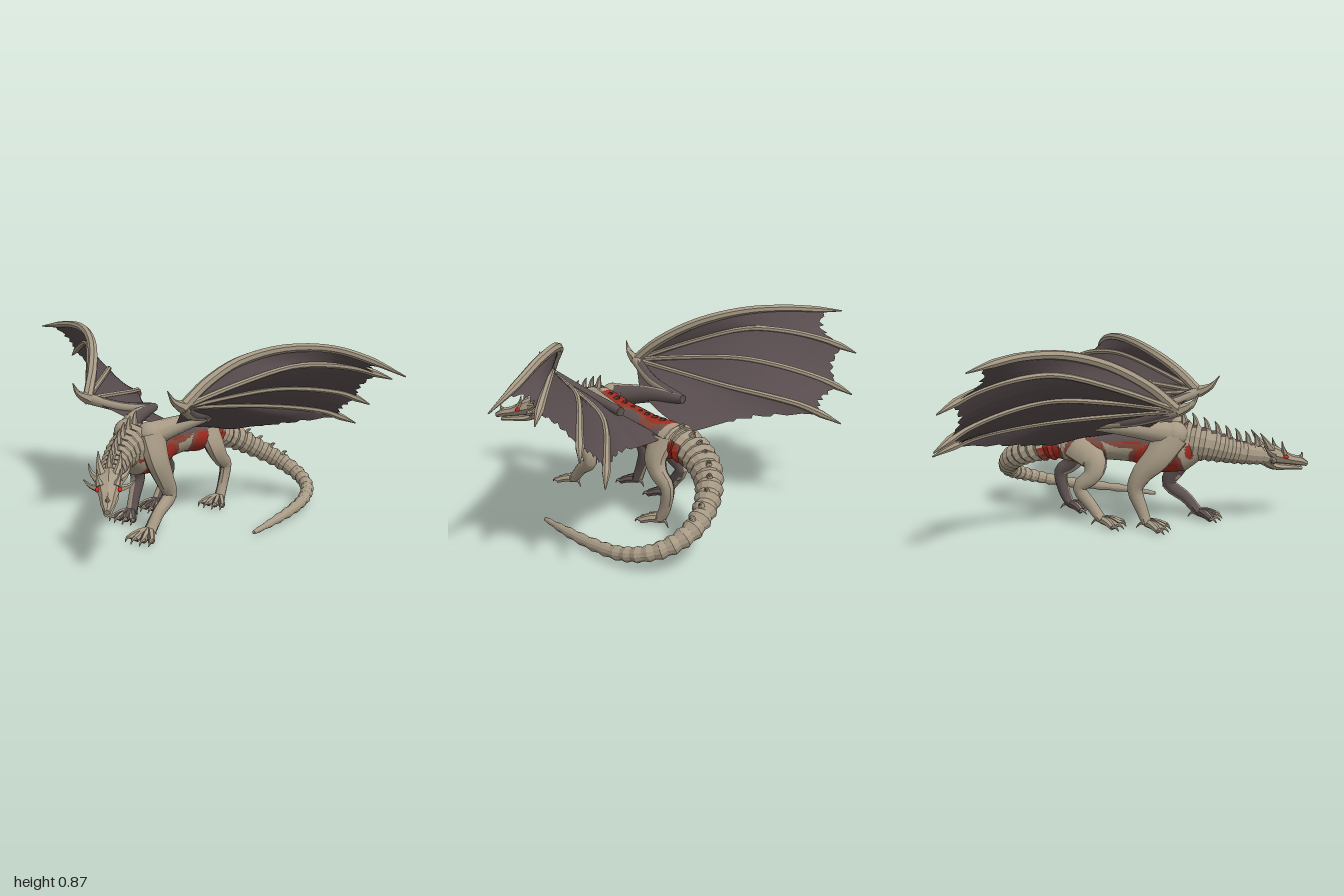
import * as THREE from 'three';
import { toCreasedNormals } from 'three/addons/utils/BufferGeometryUtils.js';
import { ParametricGeometry } from 'three/addons/geometries/ParametricGeometry.js';

const V = (p) => new THREE.Vector3(p[0], p[1], p[2]);
const lerp = THREE.MathUtils.lerp;
const mat = (name, color, extra = {}) => Object.assign(new THREE.MeshStandardMaterial({ color, ...extra }), { name });
const hide = mat('bone hide', 0xa79a85);
const dark = mat('dark hide', 0x5c5150);
const web = mat('wing membrane', 0x574b4d, { side: THREE.DoubleSide });
const flesh = mat('red flesh', 0xa02c20);
const faded = mat('faded flesh', 0x80483c);
const eyeRed = mat('eye red', 0xd02a1c);

// Loft through points [x, y, z, rx, ry]; pick(centre, normal) chooses a material index per face.
function loft(name, pts, mats, { rings = 16, sides = 10, ref = [0, 1, 0], bead = 0, pick = () => 0, crease = 0.7 } = {}) {
  const curve = new THREE.CatmullRomCurve3(pts.map(V));
  const R = V(ref), grid = [];
  for (let i = 0; i <= rings; i++) {
    const t = i / rings, f = Math.min(t * (pts.length - 1), pts.length - 1.0001);
    const k = Math.floor(f), a = pts[k], b = pts[k + 1], m = i % 2 ? 1 + bead : 1 - bead;
    const rx = lerp(a[3], b[3], f - k) * m, ry = lerp(a[4] ?? a[3], b[4] ?? b[3], f - k) * m;
    const c = curve.getPoint(t), T = curve.getTangent(t);
    const side = R.clone().cross(T).normalize(), up = T.clone().cross(side);
    const row = Array.from({ length: sides }, (_, j) => {
      const q = (j / sides) * Math.PI * 2;
      return c.clone().addScaledVector(side, rx * Math.cos(q)).addScaledVector(up, ry * Math.sin(q));
    });
    grid.push({ c, row });
  }
  const list = [mats].flat(), buckets = list.map(() => []);
  const tri = (a, b, c) => {
    const n = b.clone().sub(a).cross(c.clone().sub(a)).normalize();
    const mid = a.clone().add(b).add(c).divideScalar(3);
    buckets[pick(mid, n)].push(...a.toArray(), ...b.toArray(), ...c.toArray());
  };
  const first = grid[0], last = grid[rings];
  for (let j = 0; j < sides; j++) {
    const k = (j + 1) % sides;
    for (let i = 0; i < rings; i++) {
      const p = grid[i].row, q = grid[i + 1].row;
      tri(p[j], p[k], q[k]);
      tri(p[j], q[k], q[j]);
    }
    tri(first.c, first.row[k], first.row[j]);
    tri(last.c, last.row[j], last.row[k]);
  }
  let geo = new THREE.BufferGeometry();
  geo.setAttribute('position', new THREE.Float32BufferAttribute(buckets.flat(), 3));
  geo = toCreasedNormals(geo, crease);
  let start = 0;
  buckets.forEach((b, i) => { geo.addGroup(start, b.length / 3, i); start += b.length / 3; });
  return Object.assign(new THREE.Mesh(geo, list.length > 1 ? list : list[0]), { name });
}

const horn = (name, pts, r, m = hide) =>
  loft(name, pts.map((p, i) => [...p, Math.max(0.002, r * (1 - i / (pts.length - 1)))]), m, { rings: 6, sides: 6, ref: [0.3, 0.9, 0.31] });

function makeLeg(name, pts, toeEnd) {
  const g = Object.assign(new THREE.Group(), { name });
  const s = Math.sign(pts[2][0]);
  const pick = (c, n) => (c.y < 0.36 && n.x * s < -0.1 && n.y > -0.5 ? 1 : 0);
  g.add(loft('limb', pts, [hide, dark], { rings: 18, ref: [0, 0, 1], pick }));
  // Spread toes with hooked claws, plus a rear spur
  const [x, , z] = pts[pts.length - 1];
  for (const d of [-0.06, -0.022, 0.022, 0.06]) {
    const reach = toeEnd - z - Math.abs(d) * 0.35;
    const at = (f, y) => [x + d * Math.min(1, f * 1.3), y, z + reach * f];
    g.add(loft('toe', [[...at(0, 0.035), 0.021], [...at(0.35, 0.032), 0.019], [...at(0.7, 0.017), 0.015]], [hide, dark], { rings: 6, sides: 7, pick }));
    g.add(horn('claw', [at(0.65, 0.02), at(0.85, 0.02), at(1, 0.003)], 0.013));
  }
  g.add(horn('spur', [[x, 0.03, z], [x, 0.03, z - 0.03], [x, 0.008, z - 0.05]], 0.013));
  return g;
}

function makeWing(name, w) {
  const g = Object.assign(new THREE.Group(), { name });
  const curves = w.ribs.map((r) => new THREE.CatmullRomCurve3([w.wrist, ...r].map(V)));
  curves.push(new THREE.CatmullRomCurve3(w.flank.map(V)));
  // Membrane panels stretch between neighbouring ribs with a ragged, scalloped rear edge
  const ends = [0.9, 0.86, 0.84, 0.83, 1, 1];
  for (let i = 0; i < curves.length - 1; i++) {
    const fn = (u, v, out) => {
      const scallop = Math.sin(Math.PI * u) * (i === 4 ? 0.03 : 0.08 + 0.025 * Math.sin(u * 31 + i));
      const t = v * (lerp(ends[i], ends[i + 1], u) - scallop);
      out.copy(curves[i].getPoint(t)).lerp(curves[i + 1].getPoint(t), u);
      out.y -= 0.015 * Math.sin(Math.PI * u) * v;
    };
    g.add(Object.assign(new THREE.Mesh(new ParametricGeometry(fn, 14, 18), web), { name: 'membrane' }));
  }
  // Finger bones ending in thick pointed claws
  curves.slice(0, 4).forEach((c, i) => {
    const radii = i ? [0.013, 0.013, 0.013, 0.014, 0.015, 0.017, 0.003] : [0.024, 0.024, 0.022, 0.02, 0.018, 0.017, 0.003];
    g.add(loft('finger', radii.map((r, k) => [...c.getPoint(k / 6).toArray(), r]), hide, { rings: 24, sides: 7 }));
  });
  // Rounded shoulder, folded arm with a dark rear side, and thumb claw
  const pick = (c, n) => (n.z < -0.05 && c.z < 0.2 ? 1 : 0);
  const shoulder = new THREE.Mesh(new THREE.SphereGeometry(0.06, 16, 12), hide);
  shoulder.name = 'shoulder';
  shoulder.position.set(...w.shoulder);
  g.add(shoulder);
  g.add(loft('upperArm', [[...w.shoulder, 0.055, 0.058], [...w.mid, 0.036, 0.04], [...w.elbow, 0.02]], [hide, dark], { rings: 12, pick }));
  g.add(loft('forearm', [[...w.elbow, 0.02], [...w.fore, 0.025], [...w.wrist, 0.025]], [hide, dark], { rings: 12, pick }));
  g.add(horn('thumbClaw', [w.wrist, w.thumbMid, w.thumb], 0.028));
  return g;
}

function makeHead() {
  const h = Object.assign(new THREE.Group(), { name: 'head' });
  h.add(loft('skull', [[0, 0.01, -0.03, 0.038, 0.042], [0, 0.014, 0.03, 0.056, 0.046], [0, 0.01, 0.08, 0.047, 0.036],
    [0, 0.004, 0.14, 0.033, 0.025], [0, 0.004, 0.19, 0.028, 0.023], [0, -0.004, 0.236, 0.012, 0.012]], hide, { rings: 15, sides: 8, crease: 0.4 }));
  h.add(loft('jaw', [[0, -0.02, 0, 0.04, 0.022], [0, -0.038, 0.06, 0.039, 0.019], [0, -0.034, 0.13, 0.028, 0.014], [0, -0.028, 0.21, 0.015, 0.01]], hide, { sides: 8, crease: 0.4 }));
  h.add(horn('noseHorn', [[0, 0.018, 0.19], [0, 0.035, 0.2], [0, 0.046, 0.195]], 0.012));
  for (const s of [-1, 1]) {
    h.add(horn('crownHorn', [[s * 0.03, 0.035, 0.01], [s * 0.042, 0.07, -0.03], [s * 0.045, 0.105, -0.07]], 0.023));
    h.add(horn('sideHorn', [[s * 0.04, 0.02, 0.02], [s * 0.07, 0.03, -0.02], [s * 0.085, 0.055, -0.06]], 0.02));
    h.add(horn('cheekSpike', [[s * 0.038, -0.01, 0.03], [s * 0.075, -0.01, 0.01], [s * 0.105, 0, -0.025]], 0.019));
    h.add(horn('browSpike', [[s * 0.032, 0.03, 0.085], [s * 0.042, 0.055, 0.065], [s * 0.046, 0.085, 0.05]], 0.016));
    const eye = new THREE.Mesh(new THREE.SphereGeometry(0.009, 10, 8), eyeRed);
    eye.name = 'eye';
    eye.scale.z = 1.6;
    eye.position.set(s * 0.043, 0.016, 0.09);
    h.add(eye);
  }
  h.position.set(0.155, 0.322, 0.582);
  h.lookAt(0.281, 0.272, 0.765);
  return h;
}

// Exposed flesh: oval patches [z, y, half length, half height, red core] on the flanks
const patches = [[0.11, 0.29, 0.13, 0.12, 0.7], [0.27, 0.37, 0.02, 0.04, 0.8], [-0.22, 0.34, 0.1, 0.08, 0.45], [-0.39, 0.325, 0.06, 0.06, 0.7], [0, 0.4, 0.14, 0.03, 0.15]];
function flankColour(c) {
  const hits = patches.map(([z, y, a, b, core]) => [((c.z - z) / a) ** 2 + ((c.y - y) / b) ** 2, core]);
  return hits.some(([e, core]) => e < core) ? 1 : hits.some(([e]) => e < 1) ? 2 : 0;
}

export function createModel() {
  const model = Object.assign(new THREE.Group(), { name: 'wingedDragon' });
  // Torso with a red strip along the back, fading to dark sides
  const torso = [[0.03, 0.39, 0.3, 0.06, 0.07], [0.03, 0.375, 0.22, 0.1, 0.115], [0.03, 0.36, 0.12, 0.105, 0.11], [0.03, 0.37, 0, 0.088, 0.08],
    [0.03, 0.365, -0.14, 0.082, 0.07], [0.03, 0.355, -0.27, 0.092, 0.082], [0.03, 0.36, -0.38, 0.08, 0.07]];
  const backColour = (c, n) => {
    if (n.y < 0.45 || c.z > 0.17 || c.z < -0.3) return flankColour(c);
    const off = Math.abs(c.x - 0.03), wave = Math.cos((c.z - 0.07) * 22);
    if (off < 0.022 + Math.max(0, wave) * (c.z > -0.07 ? 0.045 : 0.022)) return 1;
    return off < 0.052 + 0.028 * wave ? 2 : c.z < 0.1 ? 3 : 0;
  };
  model.add(loft('torso', torso, [hide, flesh, faded, dark], { rings: 70, sides: 48, pick: backColour }));
  for (let i = 0; i < 9; i++) {
    const z = 0.19 - i * 0.055, y = 0.435 + 0.035 * THREE.MathUtils.smoothstep(z, -0.1, 0.15);
    model.add(horn('vertebra', [[0.03, y - 0.012, z + 0.014], [0.03, y + 0.002, z], [0.03, y + 0.01, z - 0.016]], 0.02, faded));
  }
  // Ringed neck, darker along the top, and beaded tail curling round to the left side
  const neck = [[0.03, 0.4, 0.22, 0.09, 0.095], [0.042, 0.385, 0.33, 0.07, 0.075], [0.075, 0.358, 0.43, 0.058, 0.06],
    [0.115, 0.338, 0.52, 0.048, 0.05], [0.16, 0.322, 0.6, 0.04, 0.04]];
  model.add(loft('neck', neck, [hide, dark], { rings: 22, bead: 0.06, sides: 12, crease: 0.35, pick: (c, n) => (n.y > 0.88 ? 1 : 0) }));
  const tail = [[0.03, 0.365, -0.32, 0.085, 0.075], [0.03, 0.345, -0.44, 0.076, 0.068], [0.05, 0.315, -0.53, 0.068, 0.06], [0.1, 0.27, -0.62, 0.056],
    [0.18, 0.215, -0.69, 0.048], [0.28, 0.16, -0.73, 0.041], [0.385, 0.11, -0.715, 0.035], [0.46, 0.075, -0.65, 0.031], [0.497, 0.05, -0.55, 0.028],
    [0.515, 0.036, -0.4, 0.025], [0.515, 0.026, -0.2, 0.02], [0.5, 0.014, -0.01, 0.009]];
  model.add(loft('tail', tail, [hide, flesh, faded], { rings: 50, sides: 12, bead: 0.11, crease: 0.35, pick: flankColour }));
  // Crests of backward spikes on neck and tail
  for (const [pts, count, span, height, back] of [[neck, 8, 0.95, 0.055, -0.02], [tail, 9, 0.48, 0.016, 0.03]]) {
    const line = new THREE.CatmullRomCurve3(pts.map(V));
    for (let i = 0; i < count; i++) {
      const t = 0.03 + (i / count) * span, p = line.getPoint(t), d = line.getTangent(t).multiplyScalar(back);
      const f = t * (pts.length - 1), a = pts[Math.floor(f)], b = pts[Math.floor(f) + 1];
      const y = p.y + lerp(a[4] ?? a[3], b[4] ?? b[3], f % 1);
      model.add(horn('crestSpike', [[p.x, y - 0.012, p.z], [p.x + d.x * 0.4, y + height * 0.6, p.z + d.z * 0.4], [p.x + d.x, y + height, p.z + d.z]], 0.018));
    }
  }
  model.add(makeHead());
  // Striding legs
  const legs = {
    frontLeftLeg: [0.4, [0.1, 0.44, 0.2, 0.05, 0.08], [0.135, 0.34, 0.21, 0.048, 0.064], [0.15, 0.25, 0.175, 0.04, 0.048], [0.152, 0.165, 0.135, 0.032, 0.034], [0.148, 0.1, 0.22, 0.026, 0.028], [0.145, 0.035, 0.28, 0.03, 0.022]],
    frontRightLeg: [0.2, [-0.04, 0.44, 0.19, 0.05, 0.08], [-0.075, 0.34, 0.13, 0.048, 0.064], [-0.088, 0.26, 0.06, 0.041, 0.048], [-0.092, 0.19, 0.03, 0.033, 0.036], [-0.092, 0.1, 0.06, 0.026, 0.028], [-0.09, 0.035, 0.085, 0.03, 0.022]],
    hindLeftLeg: [-0.23, [0.085, 0.38, -0.31, 0.045, 0.07], [0.125, 0.3, -0.31, 0.042, 0.06], [0.135, 0.24, -0.345, 0.036, 0.042], [0.135, 0.195, -0.4, 0.028, 0.034], [0.13, 0.1, -0.385, 0.024, 0.028], [0.13, 0.035, -0.355, 0.028, 0.022]],
    hindRightLeg: [-0.01, [-0.02, 0.37, -0.27, 0.045, 0.075], [-0.06, 0.3, -0.17, 0.042, 0.06], [-0.08, 0.24, -0.175, 0.036, 0.042], [-0.09, 0.18, -0.235, 0.028, 0.032], [-0.09, 0.1, -0.18, 0.024, 0.027], [-0.09, 0.035, -0.13, 0.028, 0.022]],
  };
  for (const [name, [toeEnd, ...pts]] of Object.entries(legs)) model.add(makeLeg(name, pts, toeEnd));
  // Wings, posed slightly differently on each side
  model.add(makeWing('leftWing', {
    wrist: [0.29, 0.59, 0.25], thumbMid: [0.285, 0.62, 0.31], thumb: [0.28, 0.67, 0.35],
    shoulder: [0.09, 0.44, 0.2], mid: [0.15, 0.47, 0.04], elbow: [0.2, 0.485, -0.16], fore: [0.225, 0.52, 0.06],
    ribs: [[[0.35, 0.7, 0.11], [0.45, 0.785, -0.07], [0.65, 0.815, -0.27], [0.83, 0.765, -0.39], [0.995, 0.69, -0.45]],
      [[0.57, 0.73, -0.2], [0.77, 0.71, -0.45], [0.89, 0.655, -0.58]], [[0.48, 0.62, -0.24], [0.67, 0.58, -0.53], [0.76, 0.515, -0.66]],
      [[0.39, 0.53, -0.28], [0.57, 0.48, -0.56], [0.68, 0.41, -0.7]], [[0.235, 0.505, -0.06], [0.28, 0.4, -0.39]]],
    flank: [[0.15, 0.47, 0.08], [0.11, 0.42, -0.14], [0.1, 0.39, -0.33]],
  }));
  model.add(makeWing('rightWing', {
    wrist: [-0.21, 0.58, 0.25], thumbMid: [-0.215, 0.61, 0.31], thumb: [-0.22, 0.66, 0.34],
    shoulder: [-0.03, 0.44, 0.2], mid: [-0.1, 0.47, 0.03], elbow: [-0.14, 0.485, -0.18], fore: [-0.16, 0.52, 0.06],
    ribs: [[[-0.28, 0.7, 0.12], [-0.44, 0.815, -0.07], [-0.64, 0.85, -0.22], [-0.82, 0.84, -0.31], [-0.995, 0.82, -0.36]],
      [[-0.54, 0.76, -0.18], [-0.78, 0.72, -0.42], [-0.92, 0.65, -0.52]], [[-0.45, 0.64, -0.23], [-0.69, 0.56, -0.5], [-0.82, 0.48, -0.59]],
      [[-0.34, 0.53, -0.27], [-0.5, 0.48, -0.56], [-0.6, 0.41, -0.71]], [[-0.17, 0.505, -0.06], [-0.22, 0.4, -0.36]]],
    flank: [[-0.1, 0.47, 0.08], [-0.05, 0.42, -0.15], [-0.04, 0.39, -0.33]],
  }));
  return model;
}
